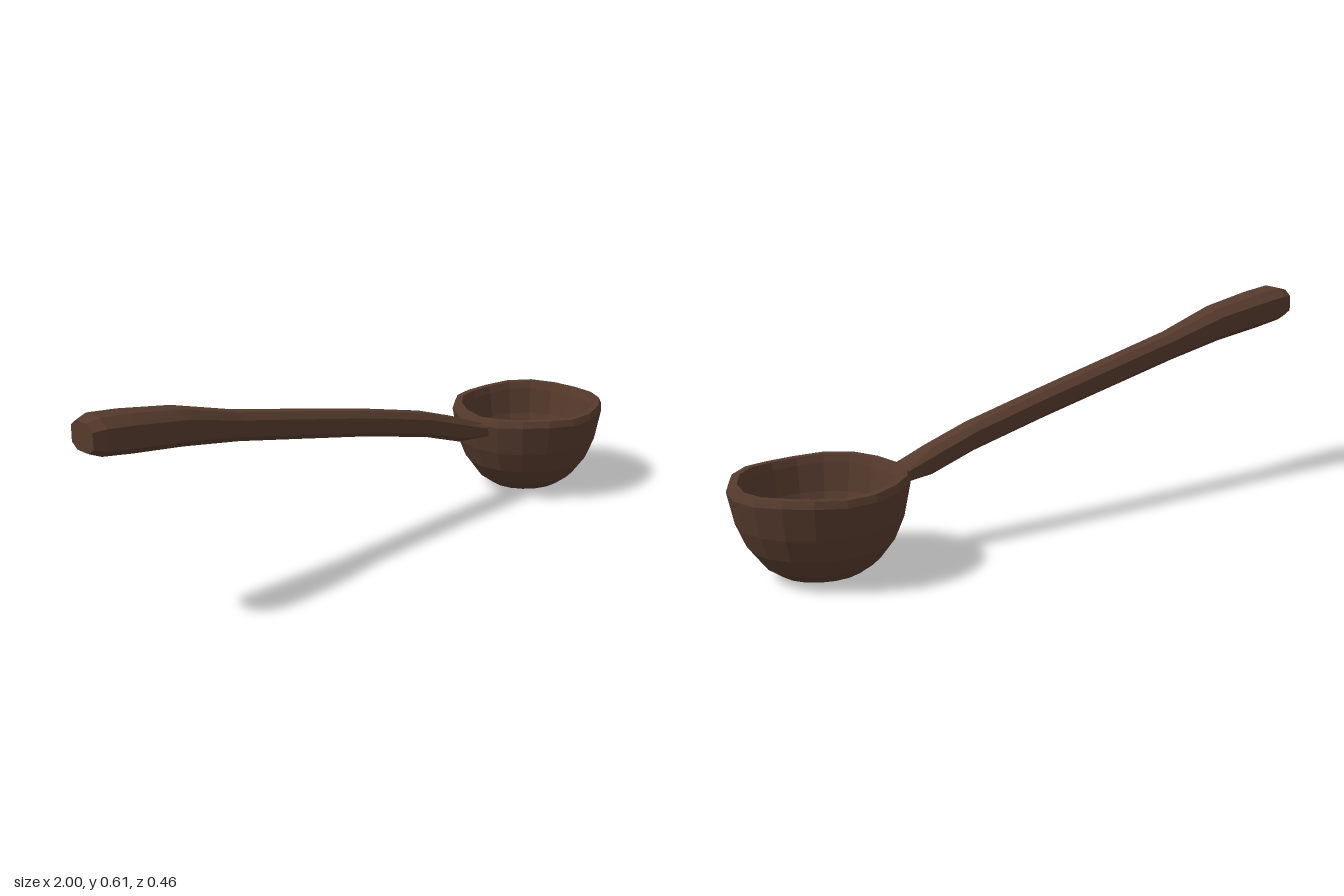
import * as THREE from 'three';

// Faceted loft: octagonal sections [x, yBottom, yTop, zMin, zMax] along x
function loft(sections) {
  const shape = [[1, -0.5], [1, 0.5], [0.55, 1], [-0.6, 1], [-1, 0.5], [-1, -0.5], [-0.6, -1], [0.55, -1]];
  const n = shape.length, pos = [], index = [];
  for (const [x, y0, y1, z0, z1] of sections) {
    for (const [v, w] of shape) {
      pos.push(x, (y0 + y1) / 2 + v * (y1 - y0) / 2, (z0 + z1) / 2 + w * (z1 - z0) / 2);
    }
  }
  // shape runs from +y towards +z, so side faces point outwards
  for (let i = 0; i < sections.length - 1; i++) {
    for (let j = 0; j < n; j++) {
      const a = i * n + j, b = i * n + (j + 1) % n;
      index.push(a, b, a + n, b, b + n, a + n);
    }
  }
  // end caps
  const last = (sections.length - 1) * n;
  for (let j = 1; j < n - 1; j++) {
    index.push(0, j + 1, j, last, last + j, last + j + 1);
  }
  const g = new THREE.BufferGeometry();
  g.setAttribute('position', new THREE.Float32BufferAttribute(pos, 3));
  g.setIndex(index);
  g.computeVertexNormals();
  return g;
}

export function createModel() {
  const group = new THREE.Group();
  group.name = 'ladle';
  const wood = new THREE.MeshStandardMaterial({ color: 0x553a2c, flatShading: true });
  wood.name = 'dark wood';

  // Bowl: outer wall, rim and hollow in one profile
  const profile = [
    [0, 0], [0.08, 0.001], [0.112, 0.012], [0.153, 0.043], [0.192, 0.098], [0.218, 0.165],
    [0.236, 0.257], [0.228, 0.277], [0.208, 0.277], [0.2, 0.255], [0.185, 0.175],
    [0.155, 0.105], [0.115, 0.062], [0.07, 0.045], [0, 0.042],
  ].map(([r, y]) => new THREE.Vector2(r, y));
  const bowlGeo = new THREE.LatheGeometry(profile, 18, Math.PI / 2);
  bowlGeo.scale(1.085, 1, 1);
  // slightly uneven, hand-carved rim
  const p = bowlGeo.attributes.position;
  for (let i = 0; i < p.count; i++) {
    const a = Math.atan2(p.getZ(i), p.getX(i));
    if (p.getY(i) > 0.25) p.setY(i, p.getY(i) - 0.004 * Math.cos(4 * a));
  }
  bowlGeo.computeVertexNormals();
  const bowl = new THREE.Mesh(bowlGeo, wood);
  bowl.name = 'bowl';
  bowl.position.x = 0.742;
  group.add(bowl);

  // Handle: sloping bar with a thicker grip end
  const handle = new THREE.Mesh(loft([
    [-1, 0.52, 0.6, -0.03, 0.065],
    [-0.965, 0.506, 0.61, -0.043, 0.079],
    [-0.87, 0.492, 0.6, -0.044, 0.078],
    [-0.7, 0.47, 0.573, -0.039, 0.069],
    [-0.5, 0.434, 0.517, -0.035, 0.047],
    [0, 0.33, 0.408, -0.041, 0.036],
    [0.25, 0.27, 0.347, -0.039, 0.041],
    [0.39, 0.224, 0.3, -0.038, 0.045],
    [0.5, 0.214, 0.258, -0.043, 0.049],
  ]), wood);
  handle.name = 'handle';
  group.add(handle);

  return group;
}
